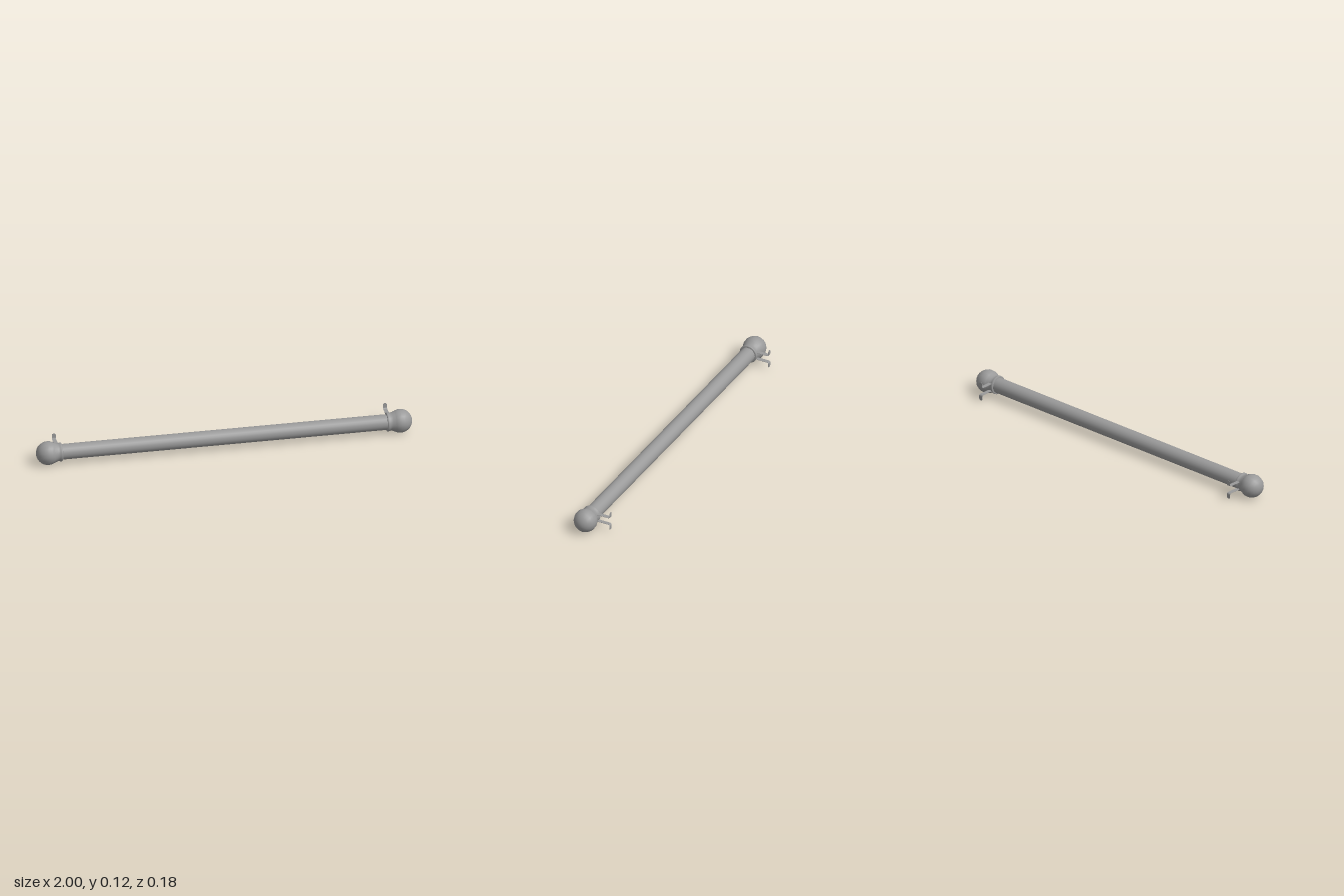
import * as THREE from 'three';

const CY = 0.0625, CZ = 0.028; // rod axis
const COLOR = 0x9a9a9a;
const WIDTH = 0.022, THICK = 0.0015; // bracket strip

export function createModel() {
  const group = new THREE.Group();
  const mat = new THREE.MeshStandardMaterial({ color: COLOR });
  const thin = new THREE.MeshStandardMaterial({ color: COLOR, side: THREE.DoubleSide });

  const add = (name, geo, material, x, y = 0, z = 0) => {
    const mesh = new THREE.Mesh(geo, material);
    mesh.name = name;
    mesh.position.set(x, CY + y, CZ + z);
    group.add(mesh);
  };

  // Long tube
  add('rod', new THREE.CylinderGeometry(0.041, 0.041, 1.78, 24).rotateZ(Math.PI / 2), mat, 0);

  // Collar: a raised lip, then a neck that flares smoothly into the ball
  const collar = [[0.04, 0.864], [0.048, 0.864], [0.05, 0.867], [0.05, 0.873],
    [0.0475, 0.878], [0.047, 0.885], [0.049, 0.894], [0.055, 0.908]]
    .map(([r, d]) => new THREE.Vector2(r, d));

  // Strap outline in (z, y): hook, arm, wrap round the rod inside the collar, arm, hook
  const R = 0.044, a = Math.asin(0.021 / R);
  const upper = [[-0.1165, 0.041], [-0.1165, 0.028], [-0.1155, 0.024], [-0.112, 0.0215], [-0.108, 0.021]];
  const wrap = [];
  for (let i = 0; i <= 24; i++) {
    const t = (Math.PI - a) * (1 - i / 12);
    wrap.push([R * Math.cos(t), R * Math.sin(t)]);
  }
  const path = [...upper, ...wrap, ...upper.map(([z, y]) => [z, -y]).reverse()];

  // Flat strip swept along x
  function strapGeometry() {
    const pts = path.map(p => new THREE.Vector2(...p));
    const inner = pts.map((p, i) => {
      const d = pts[Math.min(i + 1, pts.length - 1)].clone().sub(pts[Math.max(i - 1, 0)]).normalize();
      return new THREE.Vector2(p.x + d.y * THICK, p.y - d.x * THICK);
    });
    const shape = new THREE.Shape([...pts, ...inner.reverse()]);
    return new THREE.ExtrudeGeometry(shape, { depth: WIDTH, bevelEnabled: false })
      .translate(0, 0, -WIDTH / 2).rotateY(-Math.PI / 2);
  }

  for (const [side, s] of [['left', 1], ['right', -1]]) {
    add(side + 'Finial', new THREE.SphereGeometry(0.0625, 16, 14).rotateZ(Math.PI / 2), mat, s * 0.9375);
    add(side + 'Collar', new THREE.LatheGeometry(collar, 24).rotateZ(-s * Math.PI / 2), thin, 0);
    add(side + 'Bracket', strapGeometry(), thin, s * 0.881);
    // Rounded hook tips
    for (const [end, v] of [['Upper', 1], ['Lower', -1]]) {
      const tip = new THREE.CylinderGeometry(WIDTH / 2, WIDTH / 2, THICK, 16).rotateX(Math.PI / 2);
      add(side + end + 'HookTip', tip, mat, s * 0.881, v * 0.041, -0.1165 - THICK / 2);
    }
  }
  return group;
}
